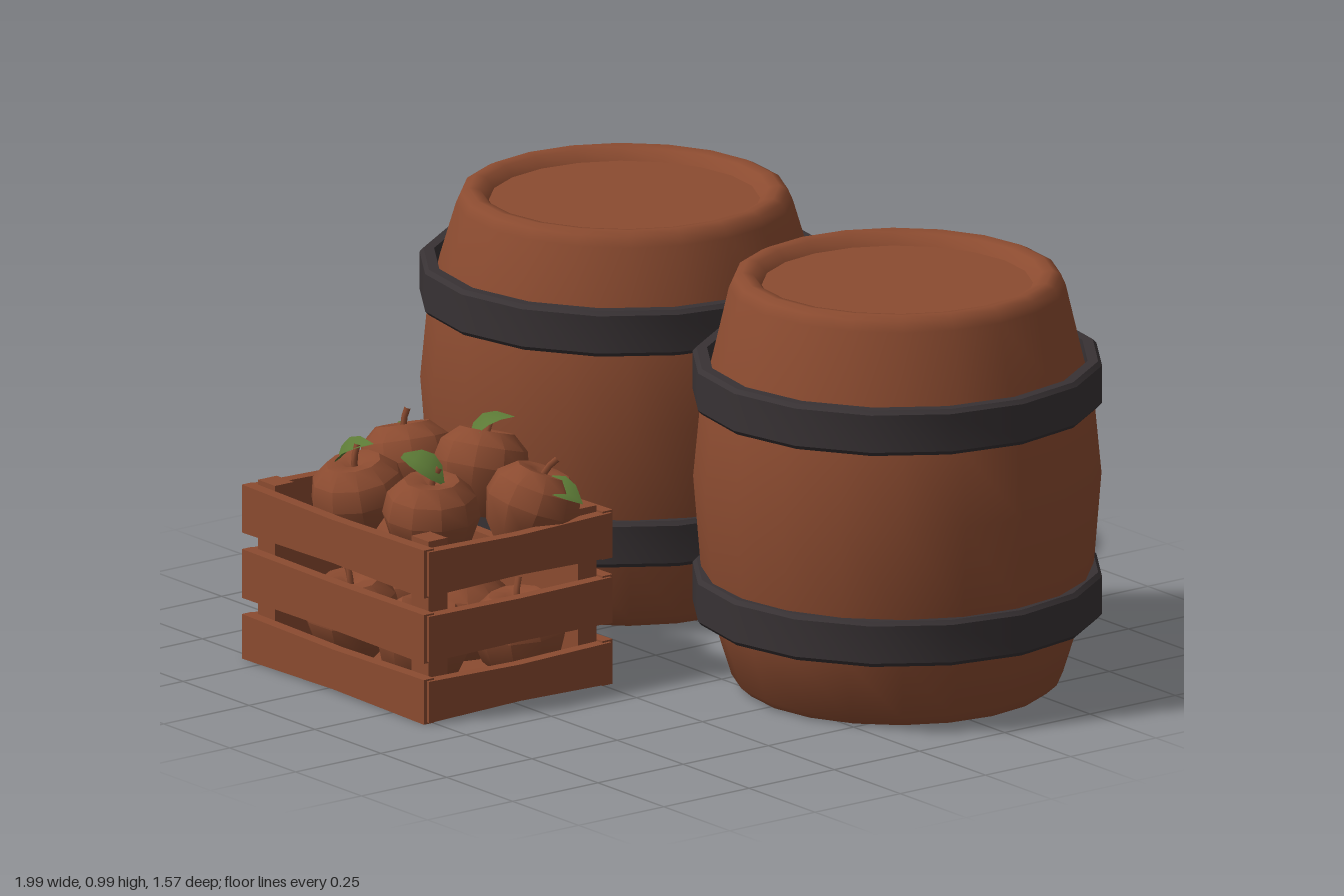
import * as THREE from 'three';
import { toCreasedNormals } from 'three/addons/utils/BufferGeometryUtils.js';

const material = (name, color, side = THREE.FrontSide) => {
  const m = new THREE.MeshStandardMaterial({ color, side });
  m.name = name;
  return m;
};

const lathe = (points, sides, crease) =>
  toCreasedNormals(new THREE.LatheGeometry(points.map(([r, y]) => new THREE.Vector2(r, y)), sides), crease);

export function createModel() {
  const wood = material('wood', 0x8b4b30);
  const iron = material('iron', 0x383234);
  const leafGreen = material('leaf green', 0x5c7a36, THREE.DoubleSide);
  const model = new THREE.Group();

  const add = (parent, name, geometry, mat, x = 0, y = 0, z = 0) => {
    const mesh = new THREE.Mesh(geometry, mat);
    mesh.name = name;
    mesh.position.set(x, y, z);
    parent.add(mesh);
    return mesh;
  };

  // Barrels: bulging staves with recessed ends and two loose iron hoops
  const hoopGeometry = lathe([[0.445, -0.055], [0.47, -0.055], [0.479, -0.045], [0.479, 0.045],
    [0.47, 0.055], [0.445, 0.055], [0.445, -0.055]], 16, 0.5);
  const makeBarrel = (name, x, height) => {
    const barrel = new THREE.Group();
    barrel.name = name;
    barrel.position.set(x, 0, -0.31);
    const h = height;
    const body = lathe([[0, 0.03], [0.31, 0.03], [0.325, 0.012], [0.36, 0.008], [0.385, 0.03],
      [0.432, 0.18], [0.457, 0.3], [0.474, 0.51], [0.457, 0.69], [0.427, 0.81],
      [0.391, h - 0.035], [0.38, h - 0.01], [0.36, h], [0.335, h - 0.005],
      [0.315, h - 0.03], [0, h - 0.03]], 20, 0.75);
    add(barrel, 'barrelBody', body, wood);
    add(barrel, 'lowerHoop', hoopGeometry, iron, 0, 0.235);
    add(barrel, 'upperHoop', hoopGeometry, iron, 0, 0.745);
    model.add(barrel);
  };
  makeBarrel('shortBarrel', -0.52, 0.965);
  makeBarrel('tallBarrel', 0.515, 1.0);

  // Crate: three rows of slightly sagging slats around a floor and corner posts
  const crate = new THREE.Group();
  crate.name = 'crate';
  crate.position.set(-0.22, 0, 0.5);
  model.add(crate);

  const slatGeometry = (length, height, sag) => {
    const g = new THREE.BoxGeometry(length, height, 0.03, 2, 1, 1);
    const p = g.attributes.position;
    for (let i = 0; i < p.count; i++) {
      if (Math.abs(p.getX(i)) < 0.01) p.setY(i, p.getY(i) - Math.sign(p.getY(i)) * sag);
    }
    return toCreasedNormals(g, 0.5);
  };
  [[0.062, 0.108], [0.214, 0.118], [0.371, 0.116]].forEach(([y, height], row) => {
    const sag = row === 1 ? 0.003 : 0.006;
    for (const s of [-1, 1]) {
      add(crate, s > 0 ? 'frontSlat' : 'backSlat', slatGeometry(0.69, height, sag), wood, 0, y, s * 0.262);
      const side = add(crate, s > 0 ? 'leftSlat' : 'rightSlat',
        slatGeometry(0.535, height - 0.008, sag), wood, s * 0.338, y, 0);
      side.rotation.y = Math.PI / 2;
    }
  });
  add(crate, 'crateFloor', new THREE.BoxGeometry(0.66, 0.025, 0.51), wood, 0, 0.024, 0);
  for (const sx of [-1, 1]) {
    for (const sz of [-1, 1]) {
      add(crate, 'cornerPost', new THREE.BoxGeometry(0.065, 0.41, 0.055), wood, sx * 0.291, 0.235, sz * 0.219);
    }
  }

  // Apples: faceted fruit with a dimpled top and a short bent stem
  const appleGeometry = lathe([[0, -0.085], [0.05, -0.1], [0.092, -0.055], [0.115, 0.015],
    [0.104, 0.065], [0.065, 0.1], [0.03, 0.098], [0, 0.075]], 10, 0.7);
  const stemGeometry = new THREE.TubeGeometry(new THREE.CatmullRomCurve3([
    new THREE.Vector3(0, 0.07, 0), new THREE.Vector3(0.004, 0.105, 0), new THREE.Vector3(0.02, 0.135, 0),
  ]), 3, 0.008, 5);

  // Leaf: a pointed blade folded along its midrib
  const leafGeometry = new THREE.PlaneGeometry(0.12, 0.07, 4, 2);
  const lp = leafGeometry.attributes.position;
  const widths = [0.25, 0.85, 1, 0.75, 0.05];
  for (let i = 0; i < lp.count; i++) {
    const x = lp.getX(i), y = lp.getY(i) * widths[i % 5];
    lp.setXYZ(i, x, Math.abs(y) * 0.4 - x * x * 5, y);
  }
  leafGeometry.computeVertexNormals();

  const makeApple = (x, y, z, tiltX, tiltZ, turn) => {
    const apple = new THREE.Group();
    apple.name = 'apple';
    apple.position.set(x, y, z);
    apple.rotation.set(tiltX, turn, tiltZ);
    add(apple, 'appleBody', appleGeometry, wood);
    add(apple, 'stem', stemGeometry, wood);
    model.add(apple);
  };
  const makeLeaf = (x, y, z, rx, ry, rz) =>
    add(model, 'leaf', leafGeometry, leafGreen, x, y, z).rotation.set(rx, ry, rz);

  // Top layer
  makeApple(-0.42, 0.44, 0.4, -0.15, 0.3, 0.4);
  makeApple(-0.17, 0.48, 0.385, -0.1, -0.2, 2);
  makeApple(0.015, 0.43, 0.38, -0.1, -0.25, 1);
  makeApple(-0.32, 0.42, 0.62, 0.1, 0.1, 1.6);
  makeApple(-0.05, 0.435, 0.62, 0.1, -0.1, 0.5);
  makeLeaf(-0.52, 0.485, 0.36, 0.5, 0.3, 0.5);
  makeLeaf(-0.15, 0.6, 0.375, 0.3, 1.1, 0.25);
  makeLeaf(0.1, 0.495, 0.36, 0.5, 0.4, -0.5);
  makeLeaf(-0.34, 0.54, 0.635, 0.4, 0.6, 0.4);
  makeLeaf(-0.04, 0.57, 0.645, 0.5, 0.3, -0.8);

  // Lower layer
  [[-0.43, 0.4], [-0.2, 0.41], [0, 0.4], [-0.35, 0.62], [-0.08, 0.62]].forEach(([x, z], i) =>
    makeApple(x, 0.13, z, 0.1, 0.1 * (i - 2), i));
  makeApple(-0.19, 0.33, 0.54, 0.2, 0.1, 1);

  return model;
}
